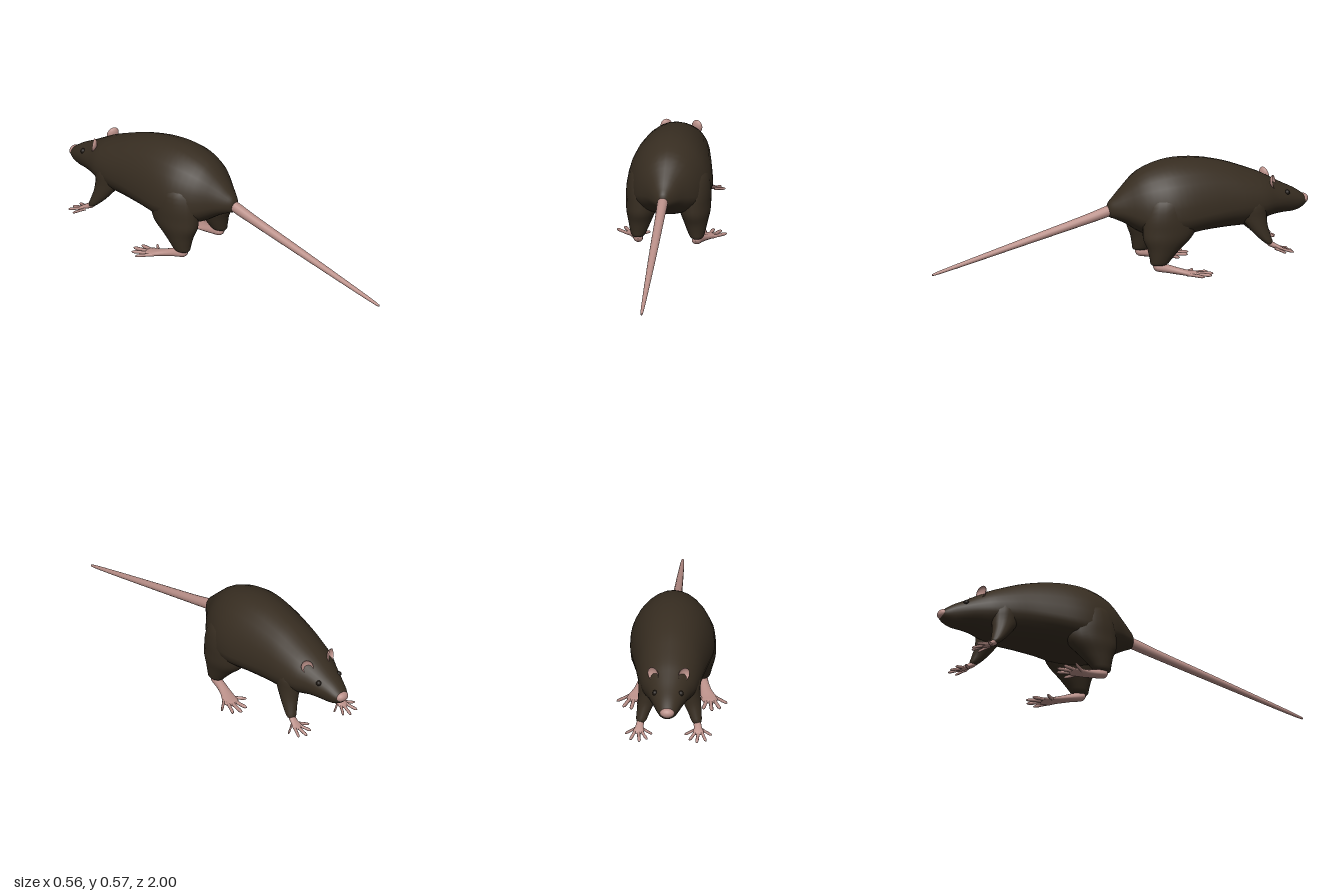
import * as THREE from 'three';

const fur = new THREE.MeshStandardMaterial({ name: 'dark brown fur', color: 0x372d21 });
const skin = new THREE.MeshStandardMaterial({ name: 'pink skin', color: 0xba9089 });
const earSkin = new THREE.MeshStandardMaterial({ name: 'pink ear skin', color: 0xba9089, side: THREE.DoubleSide });
const eyeDark = new THREE.MeshStandardMaterial({ name: 'dark eye', color: 0x1e1813 });

// Smooth skin through rings [x, y, z, halfWidth, up, down], listed toward -z (plane 'z')
// or downward (plane 'y', where up/down become forward/back). Ends close to a point.
function loft(rings, plane = 'z', sides = 20, steps = 3) {
  const spline = (pick) => new THREE.CatmullRomCurve3(rings.map((r) => new THREE.Vector3(...pick(r))), false, 'catmullrom', 0.5);
  const path = spline((r) => r.slice(0, 3));
  const size = spline((r) => r.slice(3, 6));
  const n = (rings.length - 1) * steps;
  const pos = [], idx = [];
  for (let i = 0; i <= n; i++) {
    const c = path.getPoint(i / n), s = size.getPoint(i / n);
    for (let j = 0; j < sides; j++) {
      const a = (j / sides) * Math.PI * 2;
      const u = Math.cos(a) * Math.max(s.x, 0.0005);
      const v = Math.sin(a) * Math.max(Math.sin(a) > 0 ? s.y : s.z, 0.0005);
      if (plane === 'z') pos.push(c.x + u, c.y + v, c.z);
      else pos.push(c.x + u, c.y, c.z - v);
      if (i < n) {
        const p = i * sides + j, q = i * sides + ((j + 1) % sides);
        idx.push(p, p + sides, q, q, p + sides, q + sides);
      }
    }
  }
  const g = new THREE.BufferGeometry();
  g.setAttribute('position', new THREE.Float32BufferAttribute(pos, 3));
  g.setIndex(idx);
  g.computeVertexNormals();
  return g;
}

function add(group, name, geometry, material) {
  const m = new THREE.Mesh(geometry, material);
  m.name = name;
  group.add(m);
  return m;
}

const mirror = (rings, s) => rings.map(([x, ...rest]) => [x * s, ...rest]);

// Slim toe with a slightly swollen tip
function toe(a, b, r, s) {
  const at = (t, k) => [...a.map((v, i) => v + (b[i] - v) * t), r * k, r * k * 0.9, r * k * 0.9];
  return loft(mirror([at(0, 1.1), at(0.4, 0.9), at(0.75, 0.95), at(0.92, 0.65), at(1, 0)], s), 'z', 8, 2);
}

// z, widest height, half width, top, bottom
const BODY = [
  [0.07, 0.335, 0.01, 0.345, 0.325], [0.06, 0.335, 0.03, 0.375, 0.3], [0.03, 0.335, 0.058, 0.405, 0.287],
  [-0.02, 0.33, 0.098, 0.455, 0.262], [-0.1, 0.31, 0.165, 0.525, 0.21], [-0.2, 0.31, 0.207, 0.563, 0.18],
  [-0.3, 0.31, 0.215, 0.577, 0.18], [-0.42, 0.32, 0.2, 0.57, 0.198], [-0.55, 0.33, 0.178, 0.54, 0.203],
  [-0.65, 0.33, 0.162, 0.503, 0.205], [-0.74, 0.33, 0.14, 0.465, 0.225], [-0.8, 0.33, 0.112, 0.432, 0.24],
  [-0.86, 0.325, 0.087, 0.398, 0.245], [-0.92, 0.315, 0.063, 0.367, 0.247], [-0.96, 0.305, 0.046, 0.34, 0.262],
  [-0.985, 0.302, 0.026, 0.318, 0.282], [-0.988, 0.302, 0, 0.302, 0.302],
].map(([z, mid, hw, top, bot]) => [0, mid, z, hw, top - mid, mid - bot]);

const THIGH = [
  [0.1, 0.46, -0.22, 0.03, 0.06, 0.06], [0.115, 0.4, -0.22, 0.08, 0.13, 0.11], [0.125, 0.32, -0.215, 0.09, 0.15, 0.13],
  [0.133, 0.25, -0.215, 0.083, 0.145, 0.135], [0.137, 0.2, -0.2, 0.077, 0.135, 0.118], [0.142, 0.15, -0.18, 0.061, 0.1, 0.078],
  [0.147, 0.1, -0.165, 0.045, 0.066, 0.052], [0.15, 0.07, -0.16, 0.031, 0.042, 0.04], [0.15, 0.066, -0.16, 0, 0, 0],
];
const FORELEG = [
  [0.09, 0.4, -0.66, 0.02, 0.03, 0.03], [0.1, 0.34, -0.67, 0.055, 0.07, 0.08], [0.105, 0.27, -0.68, 0.052, 0.066, 0.075],
  [0.115, 0.22, -0.695, 0.045, 0.052, 0.055], [0.13, 0.17, -0.718, 0.034, 0.04, 0.036],
  [0.141, 0.13, -0.745, 0.024, 0.022, 0.019], [0.143, 0.118, -0.75, 0, 0, 0],
];
const HIND_FOOT = [
  [0.147, 0.06, -0.128, 0, 0, 0], [0.148, 0.054, -0.145, 0.022, 0.025, 0.019], [0.155, 0.042, -0.2, 0.025, 0.026, 0.018],
  [0.17, 0.03, -0.26, 0.031, 0.018, 0.017], [0.187, 0.021, -0.31, 0.042, 0.013, 0.014],
  [0.19, 0.018, -0.345, 0.034, 0.01, 0.01], [0.192, 0.017, -0.36, 0, 0, 0],
];
const FORE_FOOT = [
  [0.14, 0.137, -0.73, 0, 0, 0], [0.142, 0.13, -0.742, 0.017, 0.018, 0.015], [0.149, 0.11, -0.78, 0.021, 0.015, 0.013],
  [0.152, 0.098, -0.807, 0.028, 0.01, 0.01], [0.152, 0.094, -0.825, 0, 0, 0],
];
// Toe start and tip
const HIND_TOES = [
  [[0.205, 0.021, -0.29], [0.28, 0.02, -0.362]], [[0.21, 0.02, -0.325], [0.246, 0.015, -0.412]],
  [[0.193, 0.019, -0.33], [0.205, 0.014, -0.432]], [[0.175, 0.019, -0.325], [0.16, 0.014, -0.415]],
  [[0.17, 0.02, -0.29], [0.11, 0.016, -0.355]],
];
const FORE_TOES = [
  [[0.16, 0.103, -0.772], [0.22, 0.09, -0.815]], [[0.168, 0.1, -0.8], [0.192, 0.083, -0.865]],
  [[0.152, 0.098, -0.805], [0.145, 0.077, -0.873]], [[0.138, 0.1, -0.8], [0.107, 0.083, -0.858]],
  [[0.142, 0.103, -0.772], [0.082, 0.09, -0.815]],
];

export function createModel() {
  const model = new THREE.Group();
  model.name = 'rat';

  add(model, 'body', loft(BODY, 'z', 28, 3), fur);

  // Tail, tip to base
  add(model, 'tail', loft([
    [0, 0.076, 1, 0, 0, 0], [0, 0.08, 0.985, 0.007, 0.007, 0.007], [0, 0.116, 0.85, 0.012, 0.012, 0.012],
    [0, 0.21, 0.5, 0.02, 0.019, 0.019], [0, 0.29, 0.2, 0.024, 0.025, 0.025],
    [0, 0.33, 0.06, 0.027, 0.029, 0.029], [0, 0.345, 0, 0.02, 0.02, 0.02],
  ], 'z', 14, 3), skin);

  // Snout tip
  const nose = add(model, 'nose', new THREE.SphereGeometry(1, 16, 12), skin);
  nose.scale.set(0.036, 0.025, 0.026);
  nose.position.set(0, 0.306, -0.974);

  for (const [side, s] of [['left', 1], ['right', -1]]) {
    add(model, side + 'Thigh', loft(mirror(THIGH, s), 'y', 20, 3), fur);
    add(model, side + 'Foreleg', loft(mirror(FORELEG, s), 'y', 18, 3), fur);

    const feet = [['HindFoot', HIND_FOOT, HIND_TOES, 0.0105], ['ForeFoot', FORE_FOOT, FORE_TOES, 0.009]];
    for (const [name, rings, toes, r] of feet) {
      const foot = new THREE.Group();
      foot.name = side + name;
      add(foot, 'sole', loft(mirror(rings, s), 'z', 14, 3), skin);
      for (const [a, b] of toes) add(foot, 'toe', toe(a, b, r, s), skin);
      model.add(foot);
    }

    // Cupped ear opening forward and outward
    const cup = new THREE.SphereGeometry(1, 16, 8, 0, Math.PI * 2, 0, Math.PI / 2);
    cup.rotateX(Math.PI / 2).scale(0.031, 0.037, 0.02);
    const ear = add(model, side + 'Ear', cup, earSkin);
    ear.position.set(s * 0.079, 0.428, -0.795);
    ear.rotation.set(0.15, -s * 0.5, -s * 0.3);

    const eye = add(model, side + 'Eye', new THREE.SphereGeometry(0.014, 14, 10), eyeDark);
    eye.position.set(s * 0.066, 0.362, -0.87);
  }
  return model;
}
